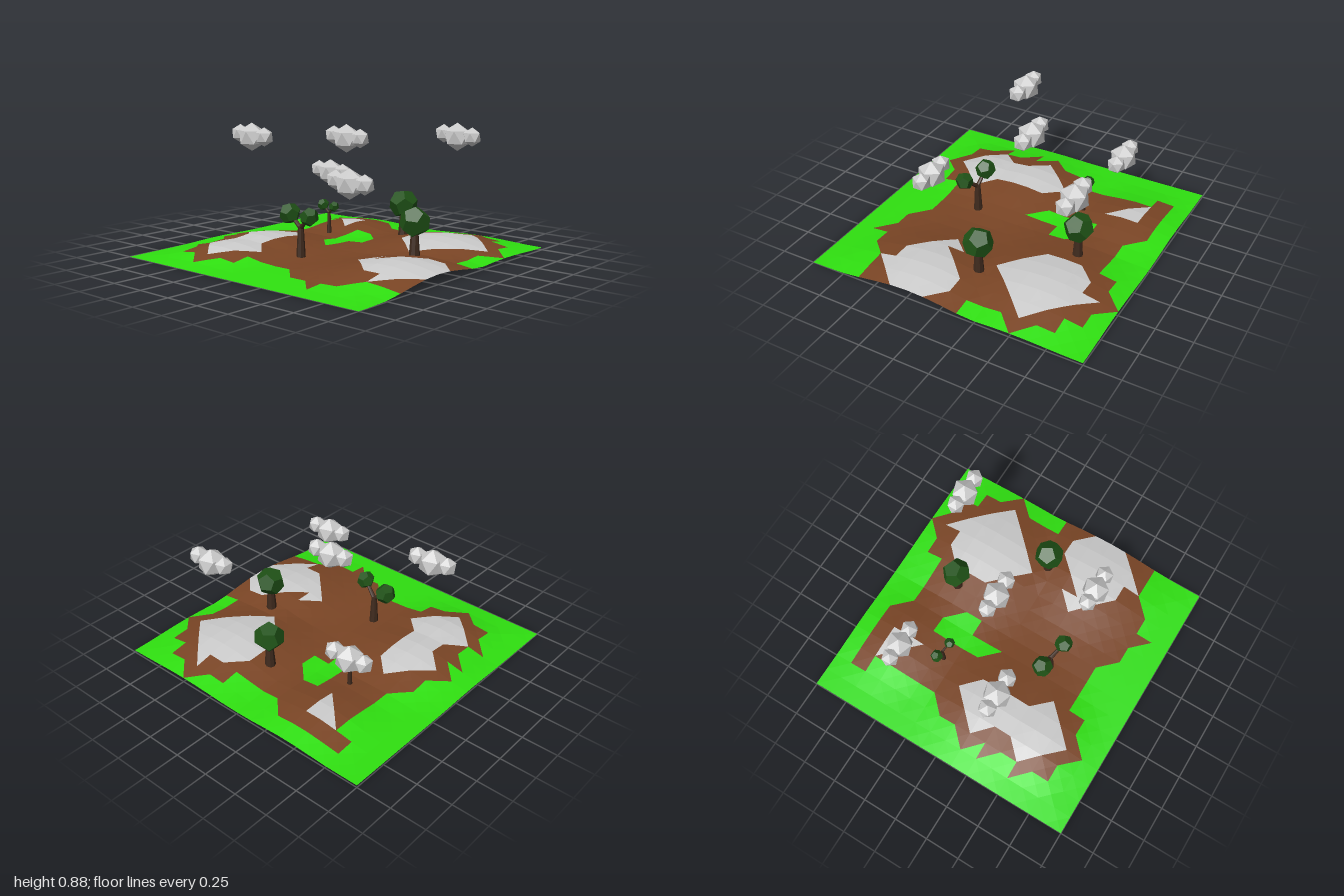
import * as THREE from 'three';

const mat = (color, side = THREE.FrontSide) =>
  new THREE.MeshStandardMaterial({ color, flatShading: true, side });

// Ground regions, outlined in grid cells of 0.125 units (x, z pairs)
const CELL = 0.125;
const DIRT = [-6,-7, -2,-7, -1,-6, 2,-6, 2,-7, 3,-7, 4,-8, 5,-7, 6,-7, 6,-6, 7,-6, 7,-5, 8,-4, 7,-3, 7,-1, 8,-1,
  8,5, 6,5, 5,6, 4,6, 4,7, 3,6, 2,6, 1,5, -2,5, -2,6, -3,6, -4,7, -5,6, -6,6, -6,5, -7,4, -6,4, -6,3,
  -7,2, -6,2, -7,1, -6,0, -6,-1, -5,-2, -5,-6, -6,-6];
const CLEARING = [-2,-4, -1,-4, 0,-3, 0,-2, -1,-2, -1,0, -2,-1];
const STONES = [
  [-5,-6, -3,-6, -3,-4],
  [4,-7, 7,-4, 4,-1, 2,-3, 2,-5, 3,-6, 4,-6],
  [6,0, 7,0, 8,1, 8,3, 6,5, 6,4, 5,4, 3,2, 4,1, 4,2],
  [-4,-1, -3,0, -3,3, -2,4, -4,6, -6,4, -5,3, -5,2, -6,1],
];
// Hills: x, z, height, radius
const HILLS = [
  [-0.52, 0.2, 0.075, 0.6], [-0.5, 0.5, 0.065, 0.5], [0.5, -0.5, 0.085, 0.7],
  [0.75, 0.25, 0.085, 0.65], [-0.42, -0.68, 0.055, 0.5],
];

function inside(p, x, z) {
  let hit = false;
  for (let i = 0, j = p.length - 2; i < p.length; j = i, i += 2) {
    const crosses = (p[i + 1] > z) !== (p[j + 1] > z);
    if (crosses && x < p[i] + (z - p[i + 1]) * (p[j] - p[i]) / (p[j + 1] - p[i + 1])) hit = !hit;
  }
  return hit;
}

function regionAt(x, z) {
  if (STONES.some((s) => inside(s, x, z))) return 'stone';
  return inside(DIRT, x, z) && !inside(CLEARING, x, z) ? 'dirt' : 'grass';
}

function groundHeight(x, z) {
  const rim = 1 - Math.max(Math.abs(x), Math.abs(z));
  let rise = 0;
  for (const [hx, hz, h, r] of HILLS) {
    const d = Math.min(1, Math.hypot(x - hx, z - hz) / r);
    rise = Math.max(rise, h * (0.5 + 0.5 * Math.cos(Math.PI * d)));
  }
  const base = 0.025 * Math.min(1, rim * 2.5) + 0.008 * (1 - z) * Math.max(0, 1 - rim * 2.5);
  return base + rise;
}

// Faceted ground: every cell is four triangles, sorted by region
function makeGround() {
  const ground = new THREE.Group();
  ground.name = 'ground';
  const points = { grass: [], dirt: [], stone: [] };
  const corners = [[0, 0], [0, 1], [1, 1], [1, 0]];
  for (let i = -8; i < 8; i++) {
    for (let k = -8; k < 8; k++) {
      const c = corners.map(([a, b]) => {
        const x = (i + a) * CELL, z = (k + b) * CELL;
        return [x, groundHeight(x, z), z];
      });
      const mid = [0, 1, 2].map((n) => (c[0][n] + c[1][n] + c[2][n] + c[3][n]) / 4);
      for (let e = 0; e < 4; e++) {
        const tri = [mid, c[e], c[(e + 1) % 4]];
        const cx = (tri[0][0] + tri[1][0] + tri[2][0]) / 3, cz = (tri[0][2] + tri[1][2] + tri[2][2]) / 3;
        points[regionAt(cx / CELL, cz / CELL)].push(...tri.flat());
      }
    }
  }
  const colors = { grass: 0x2fe010, dirt: 0x7a4525, stone: 0xcccccc };
  for (const name in points) {
    const g = new THREE.BufferGeometry();
    g.setAttribute('position', new THREE.Float32BufferAttribute(points[name], 3));
    g.computeVertexNormals();
    const mesh = new THREE.Mesh(g, mat(colors[name], THREE.DoubleSide));
    mesh.name = name + 'Ground';
    ground.add(mesh);
  }
  return ground;
}

const bark = mat(0x3f2a1d);
const leaf = mat(0x1f5216);
const UP = new THREE.Vector3(0, 1, 0);

// Tapered limb between two points
function limb(name, from, to, r0, r1) {
  const a = new THREE.Vector3(...from), b = new THREE.Vector3(...to);
  const dir = b.clone().sub(a);
  const mesh = new THREE.Mesh(new THREE.CylinderGeometry(r1, r0, dir.length(), 8), bark);
  mesh.position.copy(a).add(b).multiplyScalar(0.5);
  mesh.quaternion.setFromUnitVectors(UP, dir.normalize());
  mesh.name = name;
  return mesh;
}

function crown(pos, r, turn) {
  const mesh = new THREE.Mesh(new THREE.DodecahedronGeometry(r), leaf);
  mesh.position.set(...pos);
  mesh.rotation.set(0.3, turn, 0.15);
  mesh.name = 'crown';
  return mesh;
}

function roundTree(x, z, turn) {
  const tree = new THREE.Group();
  tree.name = 'roundTree';
  tree.add(limb('trunk', [x, 0.025, z], [x, 0.23, z], 0.04, 0.024), crown([x, 0.288, z], 0.104, turn));
  return tree;
}

// Tree whose trunk splits into two branches, each with its own crown
function forkedTree(x, z, bottom, fork, r, crowns) {
  const tree = new THREE.Group();
  tree.name = 'forkedTree';
  tree.add(limb('trunk', [x, bottom, z], [x, fork, z], r, r * 0.6));
  crowns.forEach(([cx, cy, cz, cr], i) => {
    tree.add(limb('branch', [x, fork - r * 0.4, z], [cx, cy, cz], r * 0.5, r * 0.32));
    tree.add(crown([cx, cy, cz], cr, i + 0.5));
  });
  return tree;
}

// Cloud: a large faceted puff with a small one on either side
function cloud(x, y, z) {
  const group = new THREE.Group();
  group.name = 'cloud';
  const puffs = [['middlePuff', 0, 0, 0.098], ['rightPuff', -0.112, 0.017, 0.065], ['leftPuff', 0.12, 0.007, 0.066]];
  for (const [name, px, py, r] of puffs) {
    const g = new THREE.IcosahedronGeometry(r).rotateZ(-Math.atan(2 / (1 + Math.sqrt(5))));
    const mesh = new THREE.Mesh(g, mat(0xcccccc));
    mesh.position.set(px, py, 0);
    mesh.name = name;
    group.add(mesh);
  }
  group.position.set(x, y, z);
  return group;
}

export function createModel() {
  const model = new THREE.Group();
  model.name = 'landscape';
  model.add(makeGround());
  model.add(roundTree(0.14, -0.54, 0.2), roundTree(0.6, -0.05, 0.9));
  model.add(forkedTree(-0.04, 0.34, 0.02, 0.235, 0.032,
    [[-0.143, 0.308, 0.335, 0.073], [0.07, 0.315, 0.378, 0.064]]));
  model.add(forkedTree(-0.38, -0.33, 0.04, 0.195, 0.017,
    [[-0.44, 0.243, -0.333, 0.044], [-0.315, 0.245, -0.308, 0.038]]));
  const clouds = [[-0.58, 0.78, 0.25], [-0.02, 0.78, -0.1], [0.5, 0.78, -0.67], [0.43, 0.57, 0.4], [-0.55, 0.45, -0.54]];
  for (const c of clouds) model.add(cloud(...c));
  return model;
}
